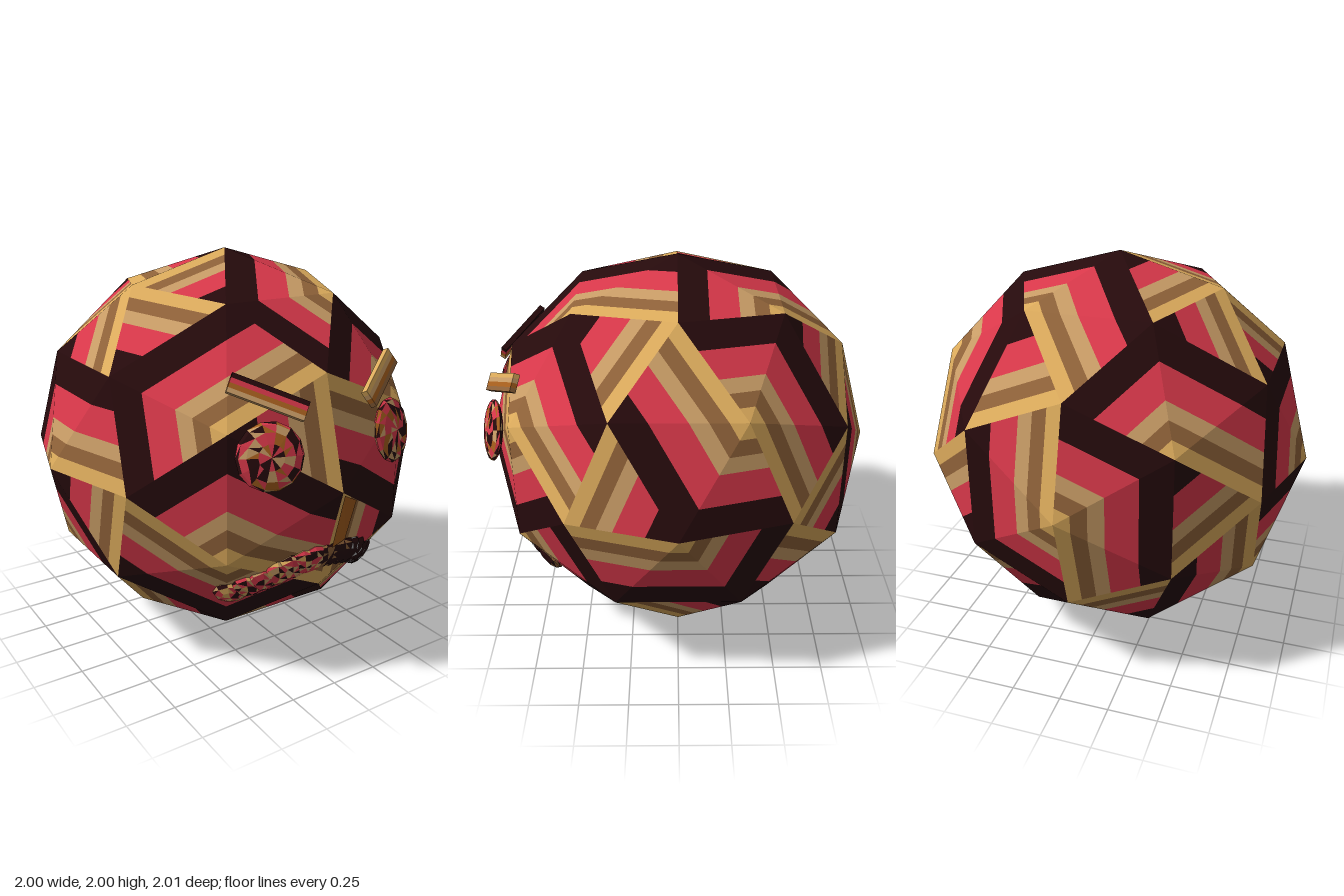
import * as THREE from 'three';

const mat = (name, color) => {
  const m = new THREE.MeshStandardMaterial({ color });
  m.name = name;
  return m;
};
const M = {
  gold: mat('gold', 0xdcab5c),
  brown: mat('brown', 0x8f6239),
  tan: mat('tan', 0xc89c66),
  red: mat('red', 0xd8384a),
  black: mat('darkBrown', 0x260a0c),
  orange: mat('orange', 0xa8601e),
  grey: mat('grey', 0xb4b8ba),
};
const V = (x, y, z) => new THREE.Vector3(x, y, z);

// stripe bands across each facet: colour, start, end (in sevenths)
const BANDS = [['gold', 0, 1], ['brown', 1, 2], ['tan', 2, 3], ['red', 3, 5], ['black', 5, 7]];

const T = (1 + Math.sqrt(5)) / 2;
const CORNERS = [
  [-1, T, 0], [1, T, 0], [-1, -T, 0], [1, -T, 0], [0, -1, T], [0, 1, T],
  [0, -1, -T], [0, 1, -T], [T, 0, -1], [T, 0, 1], [-T, 0, -1], [-T, 0, 1],
].map((c) => V(...c).normalize());
const FACES = [
  [0, 11, 5], [0, 5, 1], [0, 1, 7], [0, 7, 10], [0, 10, 11], [1, 5, 9], [5, 11, 4],
  [11, 10, 2], [10, 7, 6], [7, 1, 8], [3, 9, 4], [3, 4, 2], [3, 2, 6], [3, 6, 8],
  [3, 8, 9], [4, 9, 5], [2, 4, 11], [6, 2, 10], [8, 6, 7], [9, 8, 1],
];

function meshFromPoints(points, material, name) {
  const g = new THREE.BufferGeometry().setFromPoints(points);
  g.computeVertexNormals();
  const mesh = new THREE.Mesh(g, material);
  mesh.name = name;
  return mesh;
}

// faceted ball: each icosahedron face split in four, each facet striped
function makeBall() {
  const out = {};
  BANDS.forEach(([k]) => { out[k] = []; });
  const tri = (list, a, b, c) => {
    if (a.distanceTo(b) > 1e-5 && b.distanceTo(c) > 1e-5 && c.distanceTo(a) > 1e-5) list.push(a, b, c);
  };
  // bands run from s0-s1 (gold) to e0-e1 (dark)
  const stripe = (s0, s1, e0, e1) => BANDS.forEach(([k, from, to]) => {
    const at = (s, e, t) => s.clone().lerp(e, t / 7);
    const p = at(s0, e0, from), q = at(s0, e0, to), r = at(s1, e1, to), u = at(s1, e1, from);
    tri(out[k], p, q, r);
    tri(out[k], p, r, u);
  });
  const goldEdge = (a, b, c) => stripe(a, c, b, b);
  const goldPoint = (a, b, c) => stripe(b, b, c, a);
  const mid = (a, b) => a.clone().add(b).normalize();
  FACES.forEach((f) => {
    const [a, b, c] = f.map((i) => CORNERS[i]);
    const ab = mid(a, b), bc = mid(b, c), ca = mid(c, a);
    goldEdge(a, ab, ca);
    goldPoint(b, bc, ab);
    goldEdge(c, ca, bc);
    goldPoint(ab, bc, ca);
  });
  const ball = new THREE.Group();
  ball.name = 'stripedBall';
  BANDS.forEach(([k]) => ball.add(meshFromPoints(out[k], M[k], k + 'Stripes')));
  return ball;
}

function seeded(seed) {
  let s = seed;
  return () => (s = (s * 16807) % 2147483647) / 2147483647;
}

// flattened faceted bead, its triangles scattered over a palette
function makeBead(name, radius, depth, sides, rings, palette, seed) {
  const src = new THREE.SphereGeometry(radius, sides, rings).rotateX(Math.PI / 2)
    .scale(1, 1, depth / radius).toNonIndexed();
  const pos = src.attributes.position;
  const rnd = seeded(seed);
  const bins = palette.map(() => []);
  for (let i = 0; i < pos.count; i += 3) {
    const bin = bins[Math.floor(rnd() * palette.length)];
    for (let j = 0; j < 3; j++) bin.push(V(0, 0, 0).fromBufferAttribute(pos, i + j));
  }
  const g = new THREE.BufferGeometry().setFromPoints(bins.flat());
  g.computeVertexNormals();
  let start = 0;
  bins.forEach((b, i) => {
    g.addGroup(start, b.length, i);
    start += b.length;
  });
  const mesh = new THREE.Mesh(g, palette.map((k) => M[k]));
  mesh.name = name;
  return mesh;
}

// place a part facing straight out from the ball's centre
function outward(part, p) {
  part.position.copy(p);
  part.lookAt(p.clone().multiplyScalar(2));
  return part;
}

// brow: a thin bar of lengthwise strips
function makeBrow(side, colours) {
  const brow = new THREE.Group();
  brow.name = side > 0 ? 'leftBrow' : 'rightBrow';
  const h = 0.09 / colours.length;
  colours.forEach((k, i) => {
    const strip = new THREE.Mesh(new THREE.BoxGeometry(0.36, h, 0.03), M[k]);
    strip.position.y = 0.045 - h * (i + 0.5);
    strip.name = 'browStrip';
    brow.add(strip);
  });
  outward(brow, V(side * 0.32, 0.46, 0.85));
  brow.rotateZ(side * 0.42);
  return brow;
}

export function createModel() {
  const model = new THREE.Group();
  model.name = 'stripedFaceBall';
  const body = new THREE.Group();
  body.name = 'body';
  body.add(makeBall());

  // eyes and brows
  [1, -1].forEach((s) => {
    const eye = makeBead(s > 0 ? 'leftEye' : 'rightEye', 0.155, 0.035, 14, 8,
      ['red', 'black', 'orange', 'black', 'red', 'tan'], s > 0 ? 4711 : 977);
    body.add(outward(eye, V(s * 0.35, 0.215, 0.915)));
  });
  body.add(makeBrow(1, ['gold', 'tan', 'orange', 'brown']));
  body.add(makeBrow(-1, ['black', 'red', 'orange', 'tan']));

  // nose: thin plate lying on the front facet
  const n = [V(0, -0.01, 1), V(0, -0.3, 0.925), V(0.1, -0.29, 0.9), V(0.1, -0.065, 0.967)]
    .map((p) => p.add(V(0.003, -0.002, 0.008)));
  body.add(meshFromPoints([n[0], n[1], n[2], n[0], n[2], n[3]], M.orange, 'nose'));

  // downturned mouth: a row of beads
  const mouth = new THREE.Group();
  mouth.name = 'mouth';
  const count = 15;
  for (let i = 0; i < count; i++) {
    const u = (i / (count - 1)) * 2 - 1;
    const x = u * 0.4, y = -0.36 - 0.17 * u * u;
    const z = Math.sqrt(0.95 * 0.95 - x * x - y * y);
    const palette = u < 0 ? ['red', 'tan', 'red', 'black', 'gold']
      : u > 0.3 && u < 0.95 ? ['black', 'black', 'black', 'black', 'grey'] : ['black', 'black', 'black', 'brown'];
    mouth.add(outward(makeBead('mouthBead', 0.085, 0.035, 9, 6, palette, 131 + i * 7919), V(x, y, z)));
  }
  body.add(mouth);

  body.position.y = 1;
  model.add(body);
  return model;
}
